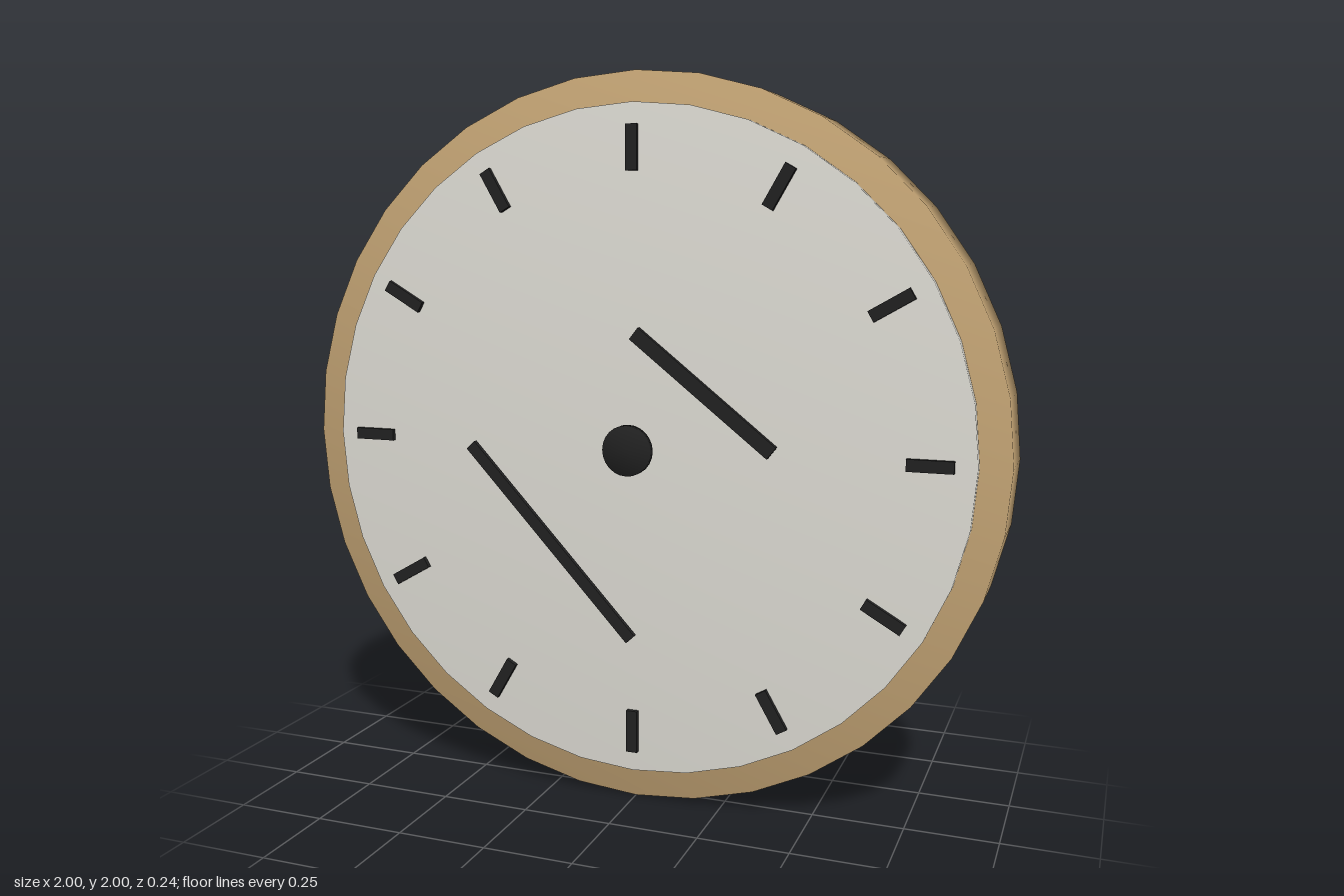
import * as THREE from 'three';
import { mergeVertices } from 'three/addons/utils/BufferGeometryUtils.js';

const material = (name, color) => {
  const m = new THREE.MeshStandardMaterial({ color });
  m.name = name;
  return m;
};

// Disc facing +z, with normals blended over the rim for a soft, domed look
function softDisc(radius, back, front, sides) {
  let g = new THREE.CylinderGeometry(radius, radius, front - back, sides);
  g.deleteAttribute('normal');
  g.deleteAttribute('uv');
  g = mergeVertices(g);
  g.computeVertexNormals();
  g.rotateX(Math.PI / 2);
  g.translate(0, 0, (front + back) / 2);
  return g;
}

export function createModel() {
  const wood = material('wood', 0xc6a676);
  const white = material('dial white', 0xe2e0d8);
  const black = material('black', 0x222222);

  const clock = new THREE.Group();
  clock.name = 'wallClock';

  const add = (name, geometry, mat, x = 0, y = 0, angle = 0, parent = clock) => {
    const mesh = new THREE.Mesh(geometry, mat);
    mesh.name = name;
    mesh.position.set(x, 1 + y, 0);
    mesh.rotation.z = angle;
    parent.add(mesh);
    return mesh;
  };

  // Flat bar lying along x between two depths
  const bar = (length, width, back, front) =>
    new THREE.BoxGeometry(length, width, front - back).translate(0, 0, (front + back) / 2);

  // Case and dial
  add('case', softDisc(1, -0.12, 0.047, 36), wood);
  add('dial', softDisc(0.917, 0.03, 0.07, 36), white);

  // Twelve hour marks
  const marks = new THREE.Group();
  marks.name = 'hourMarks';
  clock.add(marks);
  const markGeometry = bar(0.12, 0.032, 0.066, 0.083);
  for (let i = 0; i < 12; i++) {
    const a = (i * Math.PI) / 6;
    add('hourMark', markGeometry, black, 0.8 * Math.cos(a), 0.8 * Math.sin(a), a, marks);
  }

  // Hands set off the centre, and the centre cap
  const deg = Math.PI / 180;
  add('hourHand', bar(0.488, 0.04, 0.08, 0.094), black, 0.2025, 0.1625, -38.3 * deg);
  add('minuteHand', bar(0.706, 0.033, 0.087, 0.101), black, -0.2375, -0.27, -47 * deg);
  add('centreCap', softDisc(0.069, 0.1, 0.12, 24), black);

  return clock;
}
